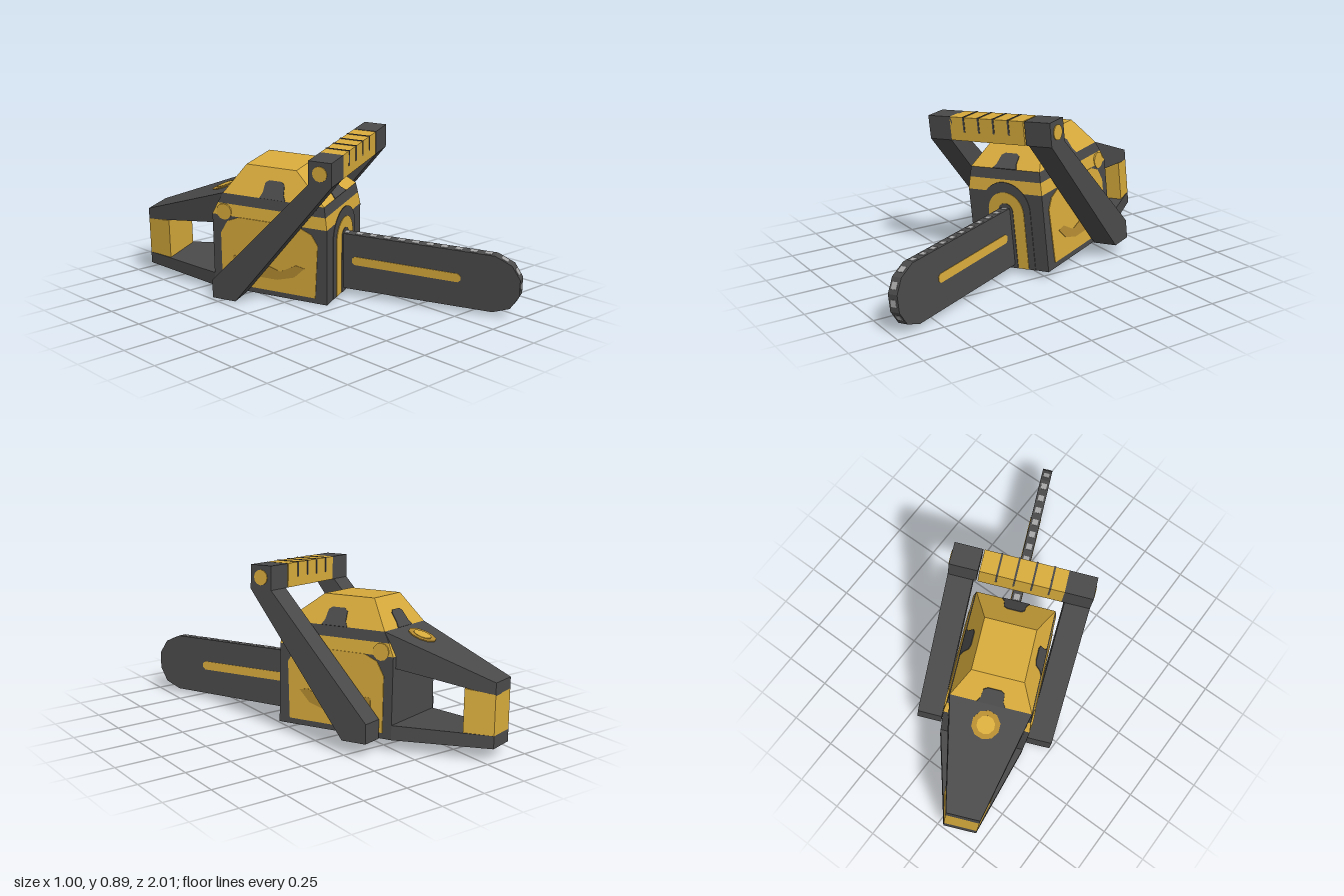
import * as THREE from 'three';

const mat = (name, color) => Object.assign(new THREE.MeshStandardMaterial({ color }), { name });

export function createModel() {
  const dark = mat('charcoal', 0x4a4a4a);
  const yellow = mat('yellow', 0xd8ab3c);
  const ochre = mat('ochre', 0xb48b31);
  const grey = mat('chain grey', 0xa6a6a6);

  const root = new THREE.Group();
  root.name = 'chainsaw';
  const tilt = new THREE.Group();
  tilt.name = 'tiltedSaw';
  tilt.rotation.set(0.035, THREE.MathUtils.degToRad(23.5), 0.09, 'YZX');
  tilt.position.y = 0.021;
  root.add(tilt);
  const saw = new THREE.Group();
  saw.name = 'saw';
  saw.position.x = 0.045;
  tilt.add(saw);

  const add = (name, geo, material, parent = saw) => {
    const m = new THREE.Mesh(geo, material);
    m.name = name;
    parent.add(m);
    return m;
  };
  const box = (name, w, h, d, x, y, z, material) => {
    const m = add(name, new THREE.BoxGeometry(w, h, d), material);
    m.position.set(x, y, z);
    return m;
  };

  // Flat-faced solid through four-cornered sections
  const loft = (rings) => {
    const pos = [];
    const quad = (a, b, c, d) => pos.push(...a, ...b, ...c, ...a, ...c, ...d);
    for (let k = 0; k < rings.length - 1; k++) {
      const a = rings[k], b = rings[k + 1];
      for (let i = 0; i < 4; i++) quad(a[i], a[(i + 1) % 4], b[(i + 1) % 4], b[i]);
    }
    const s = rings[0], e = rings[rings.length - 1];
    quad(s[3], s[2], s[1], s[0]);
    quad(e[0], e[1], e[2], e[3]);
    const g = new THREE.BufferGeometry();
    g.setAttribute('position', new THREE.Float32BufferAttribute(pos, 3));
    g.computeVertexNormals();
    return g;
  };
  // Horizontal section: height, half width, front z, back z
  const level = ([y, w, f, b]) => [[-w, y, f], [w, y, f], [w, y, b], [-w, y, b]];
  // Upright section: z, half width, bottom, top
  const slice = ([z, w, b, t]) => [[-w, b, z], [w, b, z], [w, t, z], [-w, t, z]];

  // Engine housing in coloured layers
  const L = [
    [0, 0.23, 0.126, -0.54], [0.42, 0.23, 0.126, -0.54], [0.485, 0.222, 0.115, -0.51],
    [0.54, 0.215, 0.105, -0.48], [0.69, 0.137, -0.085, -0.375],
  ].map(level);
  ['lowerHousing', 'upperBand', 'darkStripe', 'topCover'].forEach((name, i) =>
    add(name, loft([L[i], L[i + 1]]), i % 2 ? yellow : dark));

  // Rear handle frame
  add('rearBase', loft([slice([-1.03, 0.09, 0, 0.065]), slice([-0.54, 0.23, 0, 0.075])]), dark);
  add('rearTopBar', loft([slice([-1.03, 0.09, 0.265, 0.33]), slice([-0.48, 0.215, 0.37, 0.54])]), dark);
  add('rearGrip', loft([slice([-1.03, 0.09, 0.065, 0.27]), slice([-0.88, 0.125, 0.065, 0.29])]), yellow);

  const extrude = (shape, depth) =>
    new THREE.ExtrudeGeometry(shape, { depth, bevelEnabled: false, curveSegments: 10 });
  const poly = (pts) => new THREE.Shape(pts.map((p) => new THREE.Vector2(...p)));
  // Outline in (z, y), thickened along x and centred
  const sideways = (pts, d) => extrude(poly(pts), d).translate(0, 0, -d / 2).rotateY(-Math.PI / 2);

  // Front arches
  const arch = (hw, top) => {
    const s = new THREE.Shape();
    s.moveTo(hw, 0);
    s.lineTo(hw, top - hw);
    s.absarc(0, top - hw, hw, 0, Math.PI, false);
    s.lineTo(-hw, 0);
    return s;
  };
  [['outerArch', 0.15, 0.475, 0.003, dark], ['yellowArch', 0.11, 0.42, 0.006, yellow],
    ['innerArch', 0.045, 0.36, 0.009, dark]].forEach(([name, hw, top, d, m]) => {
    add(name, extrude(arch(hw, top), d), m).position.z = 0.126;
  });

  // Tabs rising from the stripe onto each slope of the cover
  const tabShape = poly([[-0.075, 0], [0.075, 0], [0.06, 0.03], [0.055, 0.085],
    [0.035, 0.1], [-0.035, 0.1], [-0.055, 0.085], [-0.06, 0.03]]);
  [[0, 0.105, 0, 0.19], [Math.PI / 2, 0.215, 0.19, 0.078],
    [-Math.PI / 2, 0.215, -0.19, 0.078], [Math.PI, 0.48, 0, 0.105]].forEach(([yaw, out, off, run]) => {
    const g = new THREE.Group();
    g.name = 'coverTab';
    g.rotation.y = yaw;
    saw.add(g);
    const t = add('tab', extrude(tabShape, 0.004), dark, g);
    t.position.set(off, 0.54, out);
    t.rotation.x = -Math.atan2(run, 0.15);
  });

  // Both sides: painted panels, bolts and handle arms
  const panel = [[0.06, 0.03], [0.075, 0.33], [0.04, 0.385], [-0.04, 0.42],
    [-0.38, 0.42], [-0.45, 0.39], [-0.49, 0.32], [-0.49, 0.03]];
  const shade = [[0, 0.19], [-0.06, 0.13], [-0.16, 0.1], [-0.42, 0.1],
    [-0.42, 0.2], [-0.3, 0.2], [-0.14, 0.15], [-0.05, 0.2]];
  const arm = [[0.09, 0.713], [-0.475, 0.1], [-0.475, 0], [-0.34, 0], [0.215, 0.713]];
  for (const s of [-1, 1]) {
    add('sidePanel', sideways(panel, 0.008), yellow).position.x = s * 0.23;
    add('panelShade', sideways(shade, 0.012), ochre).position.x = s * 0.23;
    add('handleArm', sideways(arm, 0.134), dark).position.x = s * 0.308;
    box('handleCorner', 0.15, 0.125, 0.125, s * 0.3, 0.775, 0.1525, dark);
    for (const [name, x, y, z, r] of [['handleBolt', 0.375, 0.775, 0.152, 0.04],
      ['bodyBolt', 0.228, 0.44, -0.47, 0.045]]) {
      const b = add(name, new THREE.CylinderGeometry(r, r, 0.009, 12), yellow);
      b.rotation.z = Math.PI / 2;
      b.position.set(s * x, y, z);
    }
  }

  // Front grip with grooves
  box('frontGrip', 0.455, 0.125, 0.125, -0.01, 0.775, 0.1525, yellow);
  for (let i = 0; i < 4; i++)
    box('gripGroove', 0.01, 0.08, 0.13, -0.15 + i * 0.092, 0.8, 0.1525, dark);

  // Fuel cap on the rear slope and drain cap below
  const cap = (name, r, h, y, z, tiltX, m) => {
    const c = add(name, new THREE.CylinderGeometry(r, r, h, 10), m);
    c.position.set(0, y, z);
    c.rotation.x = tiltX;
  };
  cap('fuelCapRim', 0.075, 0.01, 0.502, -0.58, -0.365, ochre);
  cap('fuelCap', 0.048, 0.016, 0.502, -0.58, -0.365, yellow);
  cap('drainCap', 0.06, 0.008, 0, -0.57, 0, yellow);

  // Guide bar with stripe and chain links along its edge
  const bar = [[0.1, 0.02], [0.96, 0.03], [1.05, 0.065], [1.095, 0.14],
    [1.095, 0.23], [1.05, 0.3], [0.96, 0.34], [0.1, 0.335]];
  add('guideBar', sideways(bar, 0.055), dark);
  add('barStripe', sideways([[0.2, 0.165], [0.77, 0.165], [0.785, 0.177], [0.785, 0.2],
    [0.77, 0.212], [0.2, 0.212], [0.185, 0.2], [0.185, 0.177]], 0.061), yellow);
  for (let i = 0; i < bar.length - 1; i++) {
    const [z0, y0] = bar[i], [z1, y1] = bar[i + 1];
    const n = Math.max(1, Math.round(Math.hypot(z1 - z0, y1 - y0) / 0.075));
    for (let k = 0; k < n; k++) {
      const t = (k + 0.5) / n;
      const link = box('chainLink', 0.032, 0.005, 0.036, 0, y0 + (y1 - y0) * t, z0 + (z1 - z0) * t, grey);
      link.rotation.x = -Math.atan2(y1 - y0, z1 - z0);
    }
  }
  return root;
}
